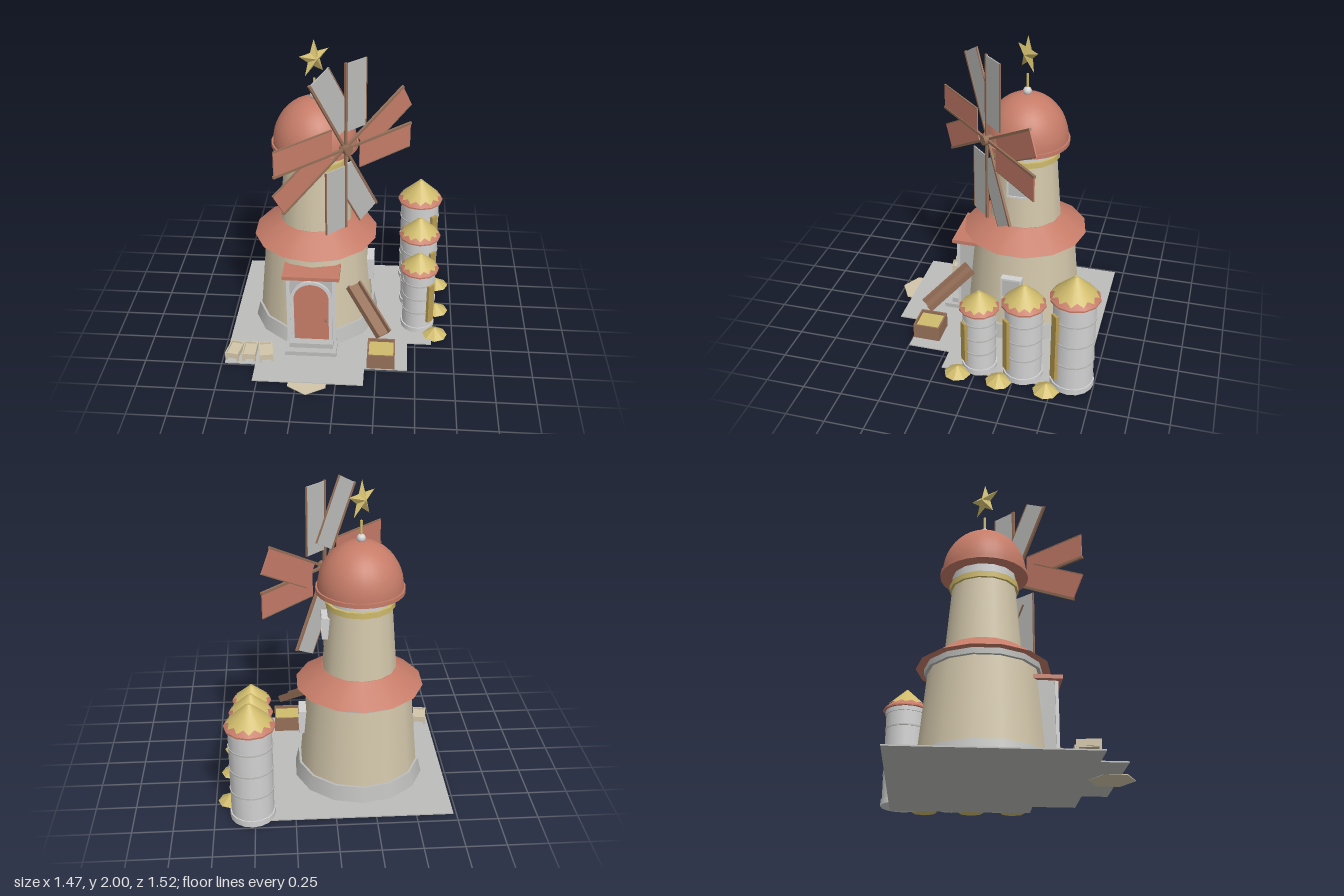
import * as THREE from 'three';

const mat = (name, color) => {
  const m = new THREE.MeshStandardMaterial({ color });
  m.name = name;
  return m;
};

export function createModel() {
  const cream = mat('cream plaster', 0xd2c6aa), red = mat('terracotta', 0xc67c68);
  const stone = mat('grey stone', 0xbcbcba), pale = mat('pale metal', 0xd2d2d2);
  const gold = mat('straw gold', 0xcfbb6c), wood = mat('wood', 0x967058);
  const ochre = mat('ochre', 0xb89c52);

  const root = new THREE.Group();
  const group = (name, x = 0, y = 0, z = 0, parent = root) => {
    const g = new THREE.Group();
    g.name = name;
    g.position.set(x, y, z);
    parent.add(g);
    return g;
  };
  const add = (parent, name, geo, material, x = 0, y = 0, z = 0) => {
    const m = new THREE.Mesh(geo, material);
    m.name = name;
    m.position.set(x, y, z);
    parent.add(m);
    return m;
  };
  const box = (parent, name, material, w, h, d, x, y, z) =>
    add(parent, name, new THREE.BoxGeometry(w, h, d), material, x, y, z);
  // Frustum given by its bottom and top heights and radii
  const drum = (parent, name, material, y0, r0, y1, r1, sides) =>
    add(parent, name, new THREE.CylinderGeometry(r1, r0, y1 - y0, sides), material, 0, (y0 + y1) / 2, 0);
  const extrude = (points, depth) => new THREE.ExtrudeGeometry(
    new THREE.Shape(points.map(p => new THREE.Vector2(...p))), { depth, bevelEnabled: false });

  // Ground slab and doormat
  const slab = extrude([[-0.73, 0.69], [-0.73, -0.495], [-0.53, -0.495], [-0.53, -0.655], [0.175, -0.655],
    [0.175, -0.495], [0.45, -0.495], [0.45, -0.22], [0.61, -0.22], [0.61, 0.69]], 0.008);
  slab.rotateX(-Math.PI / 2);
  add(root, 'ground', slab, stone, 0, 0.003, 0);
  add(root, 'doormat', new THREE.CylinderGeometry(0.14, 0.14, 0.006, 6), cream, -0.18, 0.004, 0.62);

  // Tower
  const tower = group('tower', -0.18, 0, -0.132);
  drum(tower, 'plinth', stone, 0.005, 0.425, 0.11, 0.4, 14);
  drum(tower, 'lowerWall', cream, 0.11, 0.385, 0.635, 0.337, 14);
  drum(tower, 'eavesBand', stone, 0.632, 0.358, 0.668, 0.358, 14);
  drum(tower, 'skirtRoof', red, 0.668, 0.408, 0.785, 0.24, 14);
  drum(tower, 'upperWall', cream, 0.78, 0.237, 1.205, 0.202, 14);
  drum(tower, 'goldBand', gold, 1.203, 0.218, 1.24, 0.218, 14);
  drum(tower, 'neck', pale, 1.24, 0.2, 1.305, 0.2, 14);
  drum(tower, 'domeRim', red, 1.3, 0.277, 1.328, 0.277, 28);
  const dome = new THREE.SphereGeometry(0.266, 28, 12, 0, Math.PI * 2, 0, Math.PI / 2);
  dome.scale(1, 0.295 / 0.266, 1);
  add(tower, 'dome', dome, red, 0, 1.326, 0);
  add(tower, 'finialBall', new THREE.SphereGeometry(0.028, 14, 10), pale, 0, 1.637, 0);
  drum(tower, 'finialPole', gold, 1.64, 0.008, 1.75, 0.008, 8);

  // Star: five points swelling to a ridge at the centre of both sides
  const pos = [];
  const rim = i => {
    const r = i % 2 ? 0.05 : 0.122, a = i * Math.PI / 5;
    return [r * Math.sin(a), r * Math.cos(a), 0];
  };
  for (let i = 0; i < 10; i++) {
    pos.push(...rim(i + 1), ...rim(i), 0, 0, 0.032);
    pos.push(...rim(i), ...rim(i + 1), 0, 0, -0.032);
  }
  const starGeo = new THREE.BufferGeometry();
  starGeo.setAttribute('position', new THREE.Float32BufferAttribute(pos, 3));
  starGeo.computeVertexNormals();
  add(tower, 'star', starGeo, gold, 0, 1.878, 0).rotation.y = Math.PI / 4;

  // Side windows
  for (const [name, y, h, x] of [['lowerWindow', 0.4, 0.16, 0.36], ['upperWindow', 1.07, 0.14, 0.21]]) {
    const w = group(name, x, y, 0, tower);
    box(w, 'windowPane', stone, 0.05, h - 0.02, 0.12, -0.003, 0, 0);
    for (const s of [-1, 1]) {
      box(w, 'windowRail', pale, 0.06, 0.012, 0.138, 0, s * (h / 2 - 0.006), 0);
      box(w, 'windowStile', pale, 0.06, h, 0.012, 0, 0, s * 0.063);
    }
  }

  // Sails: eight arms, each carrying a board on its clockwise side
  const sails = group('sails', 0.025, 1.375, 0.07);
  sails.rotation.y = Math.PI / 4;
  const axle = new THREE.CylinderGeometry(0.016, 0.016, 0.16, 10).rotateX(Math.PI / 2);
  add(sails, 'axle', axle, wood, 0, 0, -0.065);
  add(sails, 'hub', new THREE.CylinderGeometry(0.032, 0.032, 0.06, 10).rotateX(Math.PI / 2), wood, 0, 0, 0.005);
  for (let i = 0; i < 8; i++) {
    const sail = group('sail', 0, 0, i % 2 ? -0.004 : 0.004, sails);
    sail.rotation.z = Math.floor(i / 2) * Math.PI / 2 + (i % 2) * 0.51;
    box(sail, 'sailArm', wood, 0.56, 0.016, 0.016, 0.28, 0, 0);
    box(sail, 'sailBoard', Math.floor(i / 2) % 2 ? stone : red, 0.44, 0.16, 0.008, 0.335, -0.082, 0);
    box(sail, 'sailEdge', wood, 0.44, 0.007, 0.011, 0.335, -0.162, 0);
  }

  // Porch with arched door
  const porch = group('porch', -0.18, 0, 0);
  box(porch, 'porchBody', stone, 0.3, 0.55, 0.25, 0, 0.285, 0.165);
  box(porch, 'canopy', red, 0.365, 0.025, 0.2, 0, 0.57, 0.225);
  box(porch, 'lowerStep', stone, 0.335, 0.03, 0.2, 0, 0.025, 0.295);
  box(porch, 'upperStep', stone, 0.285, 0.035, 0.15, 0, 0.057, 0.275);
  for (const s of [-1, 1]) box(porch, 'porchPost', pale, 0.024, 0.5, 0.02, s * 0.148, 0.3, 0.29);
  const arch = (w, h) => {
    const s = new THREE.Shape();
    s.moveTo(-w, 0);
    s.lineTo(w, 0);
    s.lineTo(w, h - w);
    s.absarc(0, h - w, w, 0, Math.PI, false);
    s.lineTo(-w, 0);
    return s;
  };
  const flat = (shape, depth) => new THREE.ExtrudeGeometry(shape, { depth, bevelEnabled: false, curveSegments: 10 });
  const frame = arch(0.135, 0.46);
  frame.holes.push(arch(0.113, 0.438));
  add(porch, 'doorFrame', flat(frame, 0.016), pale, 0, 0.074, 0.288);
  add(porch, 'door', flat(arch(0.114, 0.438), 0.008), red, 0, 0.074, 0.289);
  add(porch, 'doorKnob', new THREE.SphereGeometry(0.009, 8, 6), wood, 0.094, 0.235, 0.302);

  // Grain chute running down to the crate
  const chute = group('chute', 0.19, 0.335, 0.297);
  chute.rotation.order = 'YXZ';
  chute.rotation.set(0.58, Math.atan2(0.21, 0.24), 0);
  box(chute, 'chuteFloor', wood, 0.095, 0.012, 0.38, 0, -0.015, 0);
  for (const s of [-1, 1]) box(chute, 'chuteSide', wood, 0.012, 0.045, 0.38, s * 0.045, 0.002, 0);

  // Grain crate
  const crate = group('crate', 0.28, 0.06, 0.403);
  for (const s of [-1, 1]) {
    box(crate, 'crateSide', wood, 0.01, 0.11, 0.178, s * 0.084, 0, 0);
    box(crate, 'crateEnd', wood, 0.158, 0.11, 0.01, 0, 0, s * 0.084);
  }
  box(crate, 'grain', gold, 0.158, 0.085, 0.158, 0, -0.008, 0);

  // Three small cream trays beside the door
  for (const [x, turn] of [[-0.675, -0.17], [-0.575, 0], [-0.47, 0.17]]) {
    const tray = group('tray', x, 0, 0.41);
    tray.rotation.y = turn;
    box(tray, 'trayBase', cream, 0.08, 0.03, 0.125, 0, 0.042, 0);
    for (const s of [-1, 1]) {
      box(tray, 'traySide', cream, 0.008, 0.036, 0.135, s * 0.04, 0.053, 0);
      box(tray, 'trayEnd', cream, 0.08, 0.036, 0.008, 0, 0.053, s * 0.064);
      for (const t of [-1, 1]) box(tray, 'trayFoot', cream, 0.014, 0.03, 0.014, s * 0.038, 0.02, t * 0.06);
    }
  }

  // Silos: centre z, body radius, roof radius, eaves height, apex height
  for (const [z, r, R, eaves, apex] of [
    [-0.607, 0.133, 0.156, 0.645, 0.8], [-0.292, 0.12, 0.14, 0.54, 0.68], [-0.008, 0.104, 0.127, 0.46, 0.58]]) {
    const silo = group('silo', 0.515, 0, z);
    drum(silo, 'siloBody', pale, 0.005, r, eaves, r, 16);
    drum(silo, 'siloFoot', pale, 0.005, r + 0.008, 0.045, r + 0.008, 16);
    drum(silo, 'siloCollar', pale, eaves - 0.03, r + 0.006, eaves, r + 0.006, 16);
    for (let k = 1; k < 4; k++) {
      const y = 0.03 + (eaves - 0.03) * k / 4 + 0.02;
      drum(silo, 'siloBand', stone, y, r + 0.005, y + 0.01, r + 0.005, 16);
    }
    drum(silo, 'roofRim', red, eaves, R, eaves + 0.01, R, 12);
    drum(silo, 'roofEdge', red, eaves + 0.01, R, apex - 0.012, 0.004, 12);
    // Straw cap with a wavy lower edge, lying just above the red cone
    const cap = new THREE.CylinderGeometry(0.012, 1, 1, 24, 1, true);
    const p = cap.attributes.position, h = apex - eaves - 0.01;
    for (let i = 25; i < 50; i++) {
      const k = i % 2 ? 0.93 : 0.79;
      p.setXYZ(i, p.getX(i) * k * R, (1 - k) * h, p.getZ(i) * k * R);
    }
    for (let i = 0; i < 25; i++) p.setXYZ(i, p.getX(i) * 0.8, h - 0.006, p.getZ(i) * 0.8);
    cap.computeVertexNormals();
    add(silo, 'strawCap', cap, gold, 0, eaves + 0.016, 0);
    drum(silo, 'capTip', gold, apex - 0.012, 0.014, apex, 0.012, 8);
    // Grain gauge and spilt heap on the outer corner
    const gauge = group('gauge', 0, 0, 0, silo);
    gauge.rotation.y = Math.PI / 4;
    const top = eaves - 0.08, low = 0.09;
    box(gauge, 'gaugeStrip', ochre, 0.05, top - low, 0.03, 0, (top + low) / 2, r + 0.002);
    const heap = add(gauge, 'grainHeap', new THREE.ConeGeometry(0.085, 0.055, 8).toNonIndexed(), gold, 0, 0.036, r + 0.06);
    heap.geometry.computeVertexNormals();
  }

  return root;
}
